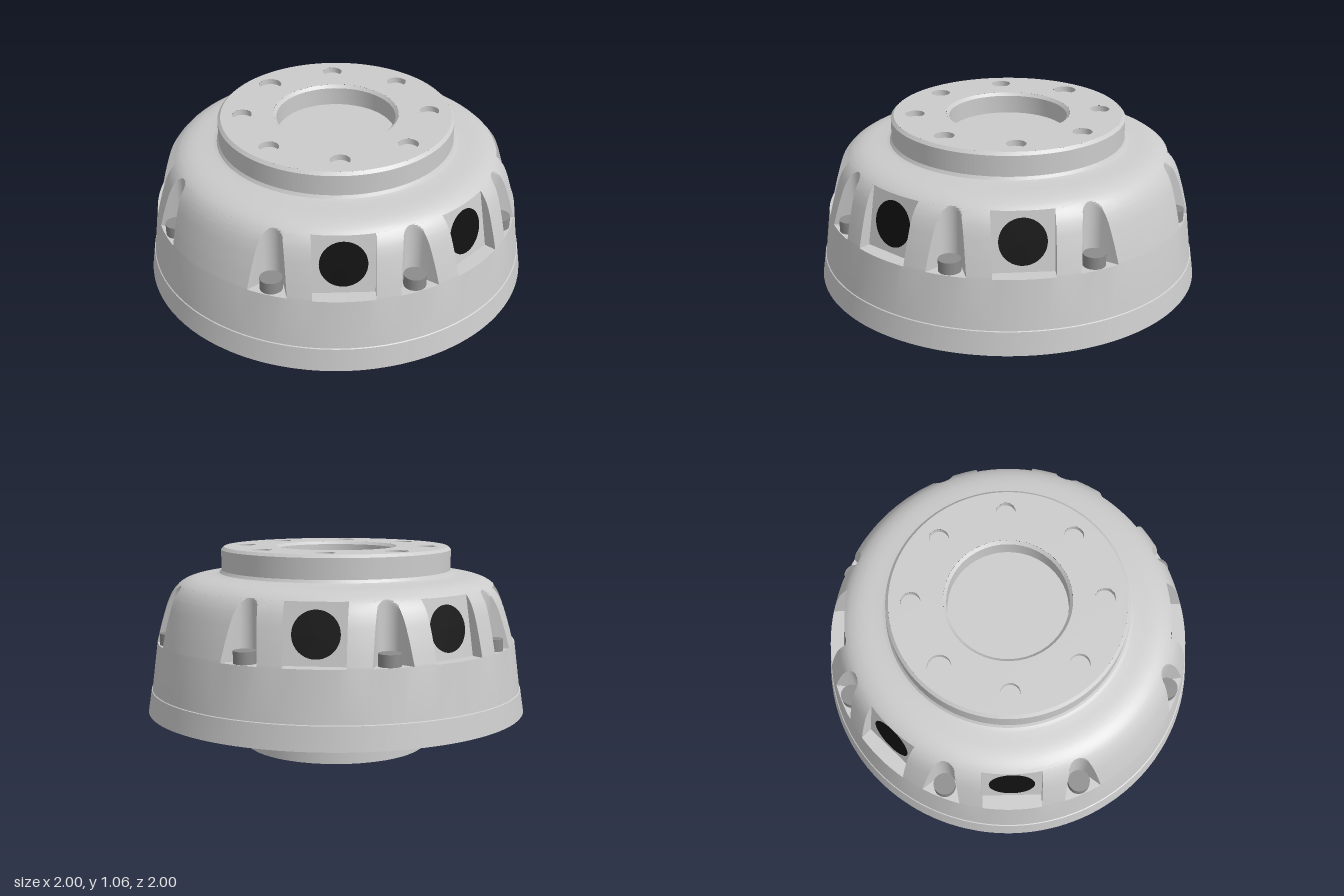
import * as THREE from 'three';
import { toCreasedNormals } from 'three/addons/utils/BufferGeometryUtils.js';

const grey = new THREE.MeshStandardMaterial({ color: 0xcccccc });
const dark = new THREE.MeshStandardMaterial({ color: 0x8c8c8c });
const black = new THREE.MeshStandardMaterial({ color: 0x111111 });

const STEP = Math.PI / 8;        // one sector: a window, a bolt slot or plain wall
const FLOOR = 0.57, CEILING = 0.865, R_FLOOR = 0.945;
const WINDOW_HALF = 0.15, TILT = 0.18;
const BOLT_V = 0.885, SCOOP = 0.06, FLARE = Math.PI / 6;
const windowWall = y => 0.87 - TILT * (y - FLOOR);

const isSlot = k => k % 2 === 1;
const isWindow = k => !isSlot(k) && k % 8 !== 0;

function mesh(name, geometry, material = grey) {
  const m = new THREE.Mesh(geometry, material);
  m.name = name;
  return m;
}

function lathe(name, points, segments = 48) {
  const g = new THREE.LatheGeometry(points.map(p => new THREE.Vector2(...p)), segments);
  return mesh(name, toCreasedNormals(g, 0.5));
}

// Outline points of one sector, u across and v outwards (Infinity = outer wall)
function sectorPoints(k, R, y) {
  const pts = [];
  const onWall = deg => pts.push([R * Math.sin(deg * Math.PI / 180), Infinity]);
  onWall(-11.25);
  if (isWindow(k)) {
    const w = y > CEILING ? Infinity : windowWall(y);
    pts.push([-WINDOW_HALF, Infinity]);
    for (let i = 0; i <= 8; i++) pts.push([WINDOW_HALF * (i / 4 - 1), w]);
    pts.push([WINDOW_HALF, Infinity]);
  } else if (isSlot(k)) {
    onWall(-8.5);
    // Flared wall runs from the tangent point of the scoop out to the outer wall
    const s = Math.sin(FLARE), c = Math.cos(FLARE);
    const pu = SCOOP * c, pv = BOLT_V - SCOOP * s;
    const dot = pu * s + pv * c;
    const t = Math.max(0, -dot + Math.sqrt(Math.max(0, dot * dot - pu * pu - pv * pv + R * R)));
    const edge = pu + t * s;
    pts.push([-edge, Infinity]);
    for (let i = 0; i <= 10; i++) {
      const a = (Math.PI / 2 - FLARE) * (i / 5 - 1);
      pts.push([SCOOP * Math.sin(a), BOLT_V - SCOOP * Math.cos(a)]);
    }
    pts.push([edge, Infinity]);
    onWall(8.5);
  } else {
    for (const deg of [-7.5, -3.75, 0, 3.75, 7.5]) onWall(deg);
  }
  return pts;
}

// Full horizontal outline of the housing at one height
function ring(R, y, cut) {
  const out = [];
  const shrink = Math.min(1, R / 0.8);
  const cutR = cut ? Math.max(R, 0.8) : R_FLOOR;
  for (let k = 0; k < 16; k++) {
    const s = Math.sin(k * STEP), c = Math.cos(k * STEP);
    for (const [u0, v0] of sectorPoints(k, cutR, y)) {
      const u = u0 * shrink;
      const rim = Math.sqrt(R * R - u * u);
      const v = cut && R > 0.8 ? Math.min(v0, rim) : rim;
      out.push([u * c + v * s, y, v * c - u * s]);
    }
  }
  return out;
}

function loft(rings) {
  const pos = [], idx = [], n = rings[0].length;
  rings.forEach(r => r.forEach(p => pos.push(...p)));
  for (let j = 0; j < rings.length - 1; j++) {
    for (let i = 0; i < n; i++) {
      const a = j * n + i, b = j * n + (i + 1) % n;
      idx.push(a, b, b + n, a, b + n, a + n);
    }
  }
  const g = new THREE.BufferGeometry();
  g.setAttribute('position', new THREE.Float32BufferAttribute(pos, 3));
  g.setIndex(idx);
  return toCreasedNormals(g, 0.5);
}

function housing() {
  // Underside and flared skirt with a fine seam
  const rings = [[0.47, 0.2], [1, 0.2], [0.982, 0.317], [0.977, 0.32], [R_FLOOR, FLOOR]]
    .map(([r, y]) => ring(r, y, false));
  // Rounded shoulder, cut by windows and slots
  const shoulder = new THREE.SplineCurve([
    [0.945, 0.57], [0.925, 0.65], [0.905, 0.72], [0.885, 0.78], [0.86, 0.83],
    [0.825, 0.87], [0.78, 0.895], [0.73, 0.908], [0.66, 0.916], [0.63, 0.92],
  ].map(p => new THREE.Vector2(...p))).getPoints(45);
  let last = null;
  for (const p of shoulder) {
    if (last && last.y < CEILING && p.y > CEILING) {
      const r = THREE.MathUtils.mapLinear(CEILING, last.y, p.y, last.x, p.x);
      rings.push(ring(r, CEILING, true), ring(r, CEILING + 1e-4, true));
    }
    rings.push(ring(p.x, p.y, true));
    last = p;
  }
  // Fillet, collar and chamfer
  for (const [r, y] of [[0.615, 0.925], [0.605, 0.94], [0.605, 1.045], [0.59, 1.06]]) {
    rings.push(ring(r, y, false));
  }
  return mesh('housing', loft(rings));
}

function mountingFace() {
  const group = new THREE.Group();
  group.name = 'mountingFace';
  const shape = new THREE.Shape().absarc(0, 0, 0.59, 0, Math.PI * 2);
  const punch = (x, y, r) => shape.holes.push(new THREE.Path().absarc(x, y, r, 0, Math.PI * 2, true));
  punch(0, 0, 0.32);
  for (let k = 0; k < 8; k++) {
    const a = k * Math.PI / 4, r = k === 4 ? 0.06 : 0.05;
    const x = 0.48 * Math.cos(a), y = 0.48 * Math.sin(a);
    punch(x, y, r);
    const hole = lathe('screwHole', [[r, 0], [r, -0.03], [0, -0.03]], 24);
    hole.position.set(x, 1.06, -y);
    group.add(hole);
  }
  const face = mesh('topFace', new THREE.ShapeGeometry(shape, 48));
  face.rotation.x = -Math.PI / 2;
  face.position.y = 1.06;
  group.add(face, lathe('centreBore', [[0.32, 1.06], [0.305, 1.045], [0.305, 0.95], [0, 0.95]]));
  return group;
}

export function createModel() {
  const model = new THREE.Group();
  model.name = 'hubHousing';
  model.add(housing(), mountingFace());

  // Shaft stub underneath
  const shaft = mesh('shaftStub', new THREE.CylinderGeometry(0.48, 0.48, 0.2, 48));
  shaft.position.y = 0.1;
  model.add(shaft);

  // Bolts in the slots and round ports in the windows
  for (let k = 0; k < 16; k++) {
    const sector = new THREE.Group();
    sector.rotation.y = k * STEP;
    if (isSlot(k)) {
      sector.name = 'bolt';
      const bolt = mesh('boltHead', new THREE.CylinderGeometry(0.055, 0.055, 0.06, 24), dark);
      bolt.position.set(0, FLOOR + 0.03, BOLT_V);
      sector.add(bolt);
    } else if (isWindow(k)) {
      sector.name = 'port';
      const port = mesh('portOpening', new THREE.CircleGeometry(0.115, 40), black);
      port.position.set(0, 0.715, windowWall(0.715) + 0.003);
      port.rotation.x = -Math.atan(TILT);
      sector.add(port);
    } else continue;
    model.add(sector);
  }
  return model;
}
